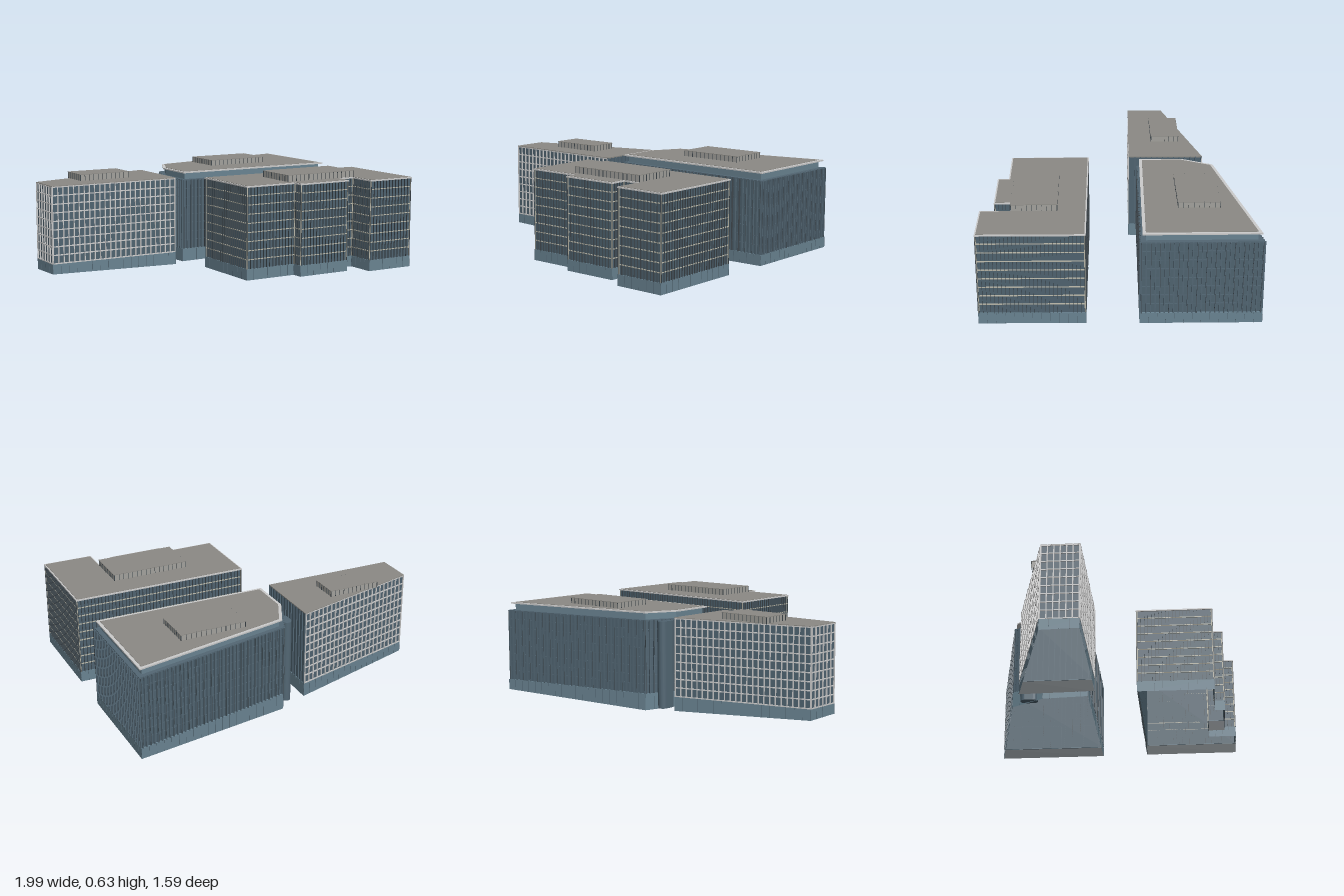
import * as THREE from 'three';
import { mergeGeometries } from 'three/addons/utils/BufferGeometryUtils.js';

const mat = (color, side = THREE.FrontSide) => new THREE.MeshStandardMaterial({ color, side, flatShading: true });
const glass = mat(0x4f6370, THREE.DoubleSide);
const baseGlass = mat(0x6a8492);
const lining = mat(0x40484d, THREE.BackSide);
const roofGrey = mat(0x8c8a85);
const plantGrey = mat(0xa3a29d);
const lightFrame = mat(0xc4c5c2);
const beige = mat(0xb9b7a8);
const darkFin = mat(0x3f484e);
const blueFin = mat(0x536774);

function add(group, name, geometry, material) {
  const mesh = new THREE.Mesh(geometry, material);
  mesh.name = name;
  group.add(mesh);
}

// Footprints are lists of [x, z, groundY], counter-clockwise seen from above.
const edges = (pts) => pts.map((a, i) => {
  const b = pts[(i + 1) % pts.length];
  const dx = b[0] - a[0], dz = b[1] - a[1], len = Math.hypot(dx, dz);
  return { a, b, len, ux: dx / len, uz: dz / len, nx: -dz / len, nz: dx / len };
});

// Mitred inset of a footprint.
function inset(pts, d) {
  const es = edges(pts);
  return pts.map((p, i) => {
    const e = es[(i + es.length - 1) % es.length], f = es[i];
    const k = d / (1 + e.nx * f.nx + e.nz * f.nz);
    return [p[0] - (e.nx + f.nx) * k, p[1] - (e.nz + f.nz) * k, p[2]];
  });
}

// Vertical skin around a footprint; y0 = null follows the sloping ground.
function skin(pts, y0, y1) {
  const pos = [];
  for (const { a, b } of edges(pts)) {
    const ya = y0 ?? a[2], yb = y0 ?? b[2];
    pos.push(a[0], ya, a[1], b[0], yb, b[1], b[0], y1, b[1]);
    pos.push(a[0], ya, a[1], b[0], y1, b[1], a[0], y1, a[1]);
  }
  const g = new THREE.BufferGeometry();
  g.setAttribute('position', new THREE.Float32BufferAttribute(pos, 3));
  g.computeVertexNormals();
  return g;
}

// Horizontal plate with the outline of a footprint, optionally cut out inside.
function plate(pts, y0, y1, hole) {
  const outline = (list) => list.map((p) => new THREE.Vector2(p[0], -p[1]));
  const shape = new THREE.Shape(outline(pts));
  if (hole) shape.holes.push(new THREE.Path(outline(hole)));
  return new THREE.ExtrudeGeometry(shape, { depth: y1 - y0, bevelEnabled: false })
    .rotateX(-Math.PI / 2).translate(0, y0, 0);
}

// Box standing on an edge: t along it, width along, depth outwards.
function edgeBox(e, t, width, depth, y0, y1) {
  return new THREE.BoxGeometry(width, y1 - y0, depth)
    .rotateY(Math.atan2(-e.uz, e.ux))
    .translate(e.a[0] + e.ux * t + e.nx * depth / 2, (y0 + y1) / 2, e.a[1] + e.uz * t + e.nz * depth / 2);
}

function fins(edgeList, step, width, depth, y0, y1) {
  const out = [];
  for (const e of edgeList) {
    const n = Math.max(1, Math.round(e.len / step));
    for (let i = 0; i <= n; i++) {
      const bottom = y0 ?? THREE.MathUtils.lerp(e.a[2], e.b[2], i / n);
      out.push(edgeBox(e, (e.len * i) / n, width, depth, bottom, y1));
    }
  }
  return mergeGeometries(out);
}

function bands(edgeList, levels, height, depth) {
  const out = [];
  for (const e of edgeList) {
    for (const y of levels) out.push(edgeBox(e, e.len / 2, e.len, depth, y - height / 2, y + height / 2));
  }
  return mergeGeometries(out);
}

const levels = (y0, y1, n) => Array.from({ length: n }, (_, i) => y0 + ((y1 - y0) * i) / (n - 1));

// Rooftop plant room with ribbed walls and a flat lid.
function plantRoom(group, x0, x1, z0, z1, y0, y1) {
  const pts = [[x0, z1, y0], [x1, z1, y0], [x1, z0, y0], [x0, z0, y0]];
  const walls = inset(pts, 0.004);
  const g = new THREE.Group();
  g.name = 'plantRoom';
  add(g, 'plantRoomWalls', skin(walls, y0, y1), plantGrey);
  add(g, 'plantRoomRibs', fins(edges(walls), 0.03, 0.002, 0.003, y0, y1), darkFin);
  add(g, 'plantRoomLid', plate(pts, y1 - 0.003, y1), roofGrey);
  group.add(g);
}

// Glazed ground storey and upper storeys, hollow and open below.
function shell(group, pts, depth, baseTop, top) {
  const wall = inset(pts, depth), base = inset(pts, 0.003);
  add(group, 'groundStorey', skin(base, null, baseTop), baseGlass);
  add(group, 'groundStoreyLining', skin(inset(pts, 0.004), null, baseTop), lining);
  add(group, 'groundMullions', fins(edges(base), 0.05, 0.0012, 0.0012, null, baseTop), blueFin);
  add(group, 'groundStoreyLedge', plate(base, baseTop - 0.002, baseTop, wall), baseGlass);
  add(group, 'upperGlazing', skin(wall, baseTop, top), glass);
  return wall;
}

function gridBuilding() {
  const g = new THREE.Group();
  g.name = 'gridBuilding';
  const pts = [[-1, -0.085, 0.035], [-0.17, -0.07, 0.018], [-0.17, -0.535, 0.01], [-1, -0.315, 0.03]];
  const [front, gable, back, end] = edges(shell(g, pts, 0.007, 0.095, 0.56));
  const gridded = [front, back, end];
  add(g, 'gridPosts', fins(gridded, 0.0345, 0.006, 0.007, 0.095, 0.56), lightFrame);
  add(g, 'gridRails', bands(gridded, levels(0.098, 0.556, 10), 0.006, 0.006), lightFrame);
  add(g, 'gableFins', fins([gable], 0.0345, 0.006, 0.007, 0.095, 0.56), blueFin);
  add(g, 'roof', plate(inset(pts, 0.002), 0.556, 0.563), roofGrey);
  plantRoom(g, -0.75, -0.42, -0.4, -0.22, 0.56, 0.602);
  return g;
}

function finBuilding() {
  const g = new THREE.Group();
  g.name = 'finBuilding';
  const pts = [[-0.098, -0.118, 0.02], [0.993, -0.103, 0.036], [0.993, -0.797, 0.035], [0, -0.597, 0], [-0.098, -0.4, 0.01]];
  const wall = shell(g, pts, 0.012, 0.1, 0.535);
  const sides = edges(wall);
  add(g, 'facadeFins', fins(sides, 0.026, 0.007, 0.012, 0.1, 0.535), blueFin);
  add(g, 'thinFins', fins(sides, 0.052, 0.002, 0.013, 0.1, 0.535), darkFin);
  add(g, 'floorBands', bands(sides, levels(0.155, 0.48, 7), 0.004, 0.003), blueFin);
  add(g, 'facadeCap', plate(inset(pts, 0.008), 0.529, 0.537), blueFin);
  // Set-back top storey under an overhanging roof slab
  add(g, 'topStorey', skin(inset(pts, 0.035), 0.537, 0.575), baseGlass);
  add(g, 'roofSlab', plate(inset(pts, 0.016), 0.576, 0.584), lightFrame);
  add(g, 'roof', plate(inset(pts, 0.034), 0.584, 0.586), roofGrey);
  // Rounded stair tower beside the chamfered corner
  const tower = new THREE.Shape();
  tower.absarc(-0.06, 0.508, 0.029, 0, Math.PI, false);
  tower.absarc(-0.06, 0.458, 0.029, Math.PI, 2 * Math.PI, false);
  const towerGeometry = new THREE.ExtrudeGeometry(tower, { depth: 0.52, bevelEnabled: false, curveSegments: 10 });
  add(g, 'stairTower', towerGeometry.rotateX(-Math.PI / 2).translate(0, 0.01, 0), blueFin);
  plantRoom(g, 0.24, 0.647, -0.577, -0.33, 0.585, 0.622);
  return g;
}

function steppedBuilding() {
  const g = new THREE.Group();
  g.name = 'steppedBuilding';
  const pts = [[-0.11, 0.652], [0.22, 0.652], [0.22, 0.718], [0.567, 0.718], [0.567, 0.618], [0.67, 0.618],
    [0.67, 0.793], [0.982, 0.797], [0.985, 0.19], [-0.11, 0.176]].map(([x, z]) => [x, z, 0.036]);
  const sides = edges(shell(g, pts, 0.008, 0.102, 0.58));
  add(g, 'facadeFins', fins(sides, 0.022, 0.0015, 0.008, 0.102, 0.578), darkFin);
  add(g, 'cornerPosts', fins(sides, 2, 0.004, 0.004, 0.102, 0.578), beige);
  add(g, 'floorBands', bands(sides, levels(0.157, 0.53, 8), 0.005, 0.005), beige);
  add(g, 'roofEdge', plate(pts, 0.578, 0.586), lightFrame);
  add(g, 'roof', plate(inset(pts, 0.008), 0.586, 0.588), roofGrey);
  plantRoom(g, 0.195, 0.68, 0.35, 0.617, 0.587, 0.628);
  return g;
}

export function createModel() {
  const model = new THREE.Group();
  model.name = 'officeCampus';
  model.add(gridBuilding(), finBuilding(), steppedBuilding());
  return model;
}
